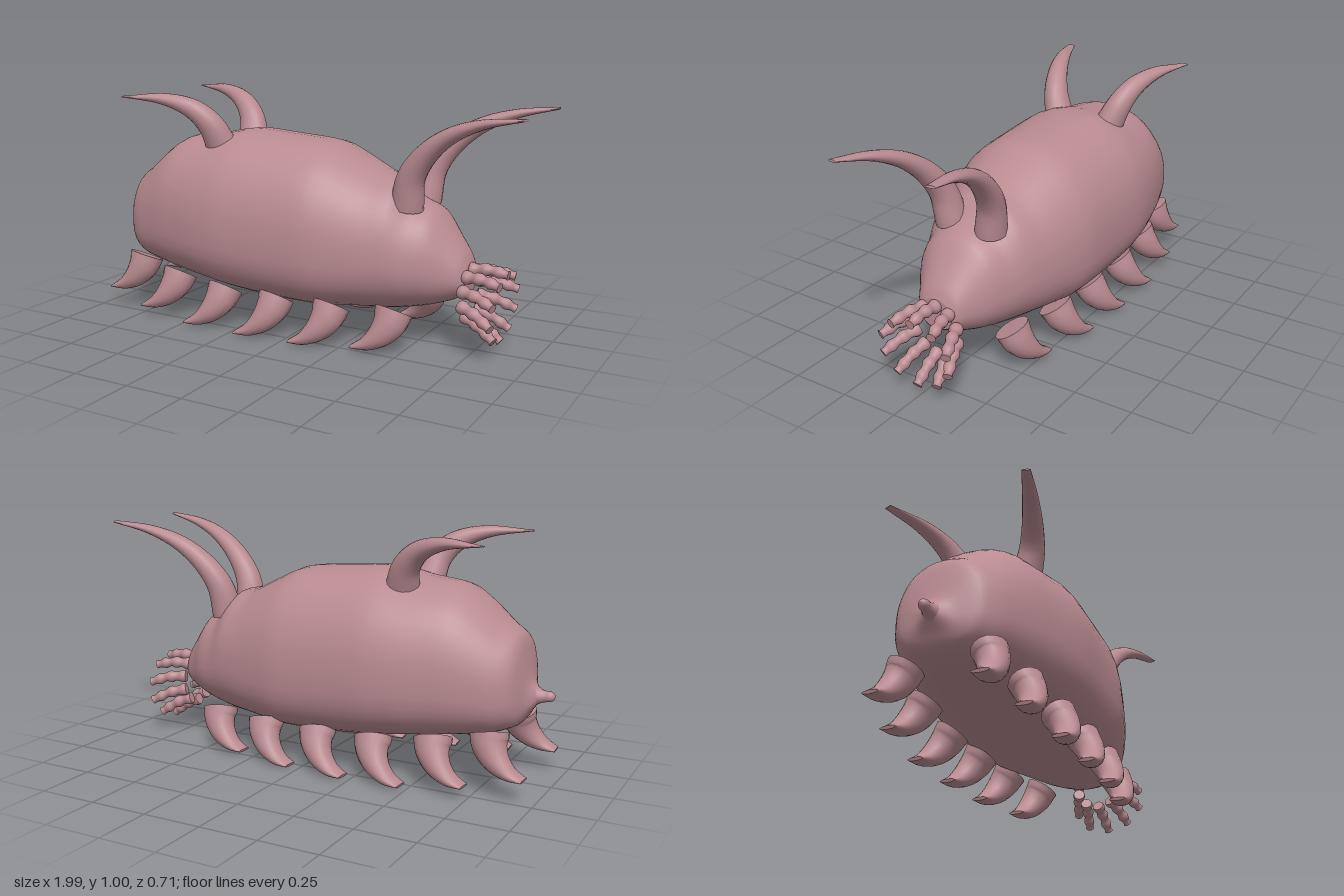
import * as THREE from 'three';

const V = (x, y, z) => new THREE.Vector3(x, y, z);

// Skin a list of equal rings (counter-clockwise about the direction of travel) with flat end caps.
function loft(rings) {
  const n = rings[0].length, pos = [], idx = [];
  rings.forEach(r => r.forEach(p => pos.push(p.x, p.y, p.z)));
  for (let i = 0; i < rings.length - 1; i++) {
    for (let j = 0; j < n; j++) {
      const k = (j + 1) % n, a = i * n + j, b = i * n + k;
      idx.push(a, b, a + n, b, b + n, a + n);
    }
  }
  [rings[0], rings[rings.length - 1]].forEach((r, end) => {
    const c = r.reduce((s, p) => s.add(p), V(0, 0, 0)).divideScalar(n);
    const base = pos.length / 3;
    pos.push(c.x, c.y, c.z);
    r.forEach(p => pos.push(p.x, p.y, p.z));
    for (let j = 0; j < n; j++) {
      const a = base + 1 + j, b = base + 1 + (j + 1) % n;
      if (end) idx.push(base, a, b); else idx.push(base, b, a);
    }
  });
  const g = new THREE.BufferGeometry();
  g.setAttribute('position', new THREE.Float32BufferAttribute(pos, 3));
  g.setIndex(idx);
  g.computeVertexNormals();
  return g;
}

// Sweep an ellipse along a curve; radius(t) gives [thickness, width along z].
function sweep(points, radius, steps = 20, sides = 16) {
  const curve = new THREE.CatmullRomCurve3(points);
  const rings = [];
  for (let i = 0; i <= steps; i++) {
    const t = i / steps, c = curve.getPointAt(t), T = curve.getTangentAt(t);
    const B = V(0, 0, 1).addScaledVector(T, -T.z).normalize();
    const N = B.clone().cross(T);
    const [rn, rb] = radius(t);
    rings.push(Array.from({ length: sides }, (_, j) => {
      const a = j / sides * Math.PI * 2;
      return c.clone().addScaledVector(N, Math.cos(a) * rn).addScaledVector(B, Math.sin(a) * rb);
    }));
  }
  return loft(rings);
}

// Body cross-sections: x, bottom, top, half width.
const SECTIONS = [
  [-0.94, 0.36, 0.40, 0.02], [-0.905, 0.31, 0.45, 0.08], [-0.87, 0.26, 0.61, 0.17],
  [-0.8, 0.23, 0.665, 0.225], [-0.7, 0.21, 0.75, 0.265], [-0.61, 0.195, 0.803, 0.295],
  [-0.45, 0.175, 0.825, 0.335], [-0.3, 0.155, 0.853, 0.355], [-0.1, 0.14, 0.842, 0.352],
  [0.1, 0.135, 0.825, 0.343], [0.22, 0.142, 0.775, 0.315], [0.34, 0.148, 0.717, 0.28],
  [0.43, 0.152, 0.695, 0.25], [0.5, 0.165, 0.62, 0.22], [0.58, 0.185, 0.58, 0.185],
  [0.65, 0.21, 0.49, 0.135], [0.7, 0.235, 0.42, 0.1], [0.72, 0.245, 0.375, 0.075],
];

function bodyGeometry() {
  const smooth = f => new THREE.CatmullRomCurve3(SECTIONS.map(f), false, 'catmullrom', 0.4);
  const heights = smooth(s => V(s[0], s[1], s[2]));
  const widths = smooth(s => V(s[0], s[3], 0));
  const steps = (SECTIONS.length - 1) * 4, sides = 40, rings = [];
  for (let i = 0; i <= steps; i++) {
    const h = heights.getPoint(i / steps), w = widths.getPoint(i / steps).y;
    const mid = h.y + (h.z - h.y) * 0.43;
    // fuller underside in the trunk, rounder toward the head
    const full = THREE.MathUtils.lerp(2.7, 2.1, THREE.MathUtils.smoothstep(h.x, 0.1, 0.5));
    rings.push(Array.from({ length: sides }, (_, j) => {
      const a = j / sides * Math.PI * 2, c = Math.cos(a), s = Math.sin(a);
      const e = 2 / (c < 0 ? full : 2.2);
      const y = Math.sign(c) * Math.abs(c) ** e * (c < 0 ? mid - h.y : h.z - mid);
      return V(h.x, mid + y, Math.sign(s) * Math.abs(s) ** e * w);
    }));
  }
  return loft(rings);
}

export function createModel() {
  const group = new THREE.Group();
  const skin = new THREE.MeshStandardMaterial({ color: 0xb98b91 });
  skin.name = 'dusky pink skin';
  const add = (name, geometry) => {
    const mesh = new THREE.Mesh(geometry, skin);
    mesh.name = name;
    group.add(mesh);
    return mesh;
  };

  add('body', bodyGeometry());

  // Small nub at the tail
  add('tailNub', sweep([V(-0.91, 0.378, 0), V(-0.95, 0.378, 0), V(-1, 0.382, 0)],
    t => { const r = t > 0.7 ? 0.022 * Math.sqrt(Math.max(0.02, 1 - ((t - 0.7) / 0.3) ** 2)) : 0.022 + 0.03 * (1 - t / 0.7) ** 2; return [r, r]; }));

  // Legs: x of the top, height of the top, height of the tip, z of the top and of the tip
  const legs = [
    [-0.795, 0.25, 0.095, 0.17, 0.215], [-0.575, 0.21, 0.053, 0.21, 0.275],
    [-0.32, 0.18, 0.022, 0.23, 0.305], [-0.06, 0.175, 0.016, 0.23, 0.305],
    [0.2, 0.175, 0.016, 0.22, 0.29], [0.465, 0.18, 0.024, 0.18, 0.24],
  ];

  for (const side of [1, -1]) {
    const label = side > 0 ? 'Left' : 'Right';

    legs.forEach(([x, top, tip, z0, z1], i) => {
      const at = (dx, f, k) => V(x + dx, tip + (top - tip) * f, side * (z0 + (z1 - z0) * k));
      add(`leg${label}${i + 1}`, sweep(
        [at(0, 1, 0), at(-0.008, 0.72, 0.35), at(-0.04, 0.4, 0.7), at(-0.095, 0.13, 0.93), at(-0.158, 0, 1)],
        t => [0.073 * (1 - t ** 1.3) + 0.007, 0.07 - 0.034 * t]));
    });

    // Long curved feelers over the head
    add(`headFeeler${label}`, sweep(
      [V(0.475, 0.595, side * 0.095), V(0.5, 0.72, side * 0.115), V(0.57, 0.82, side * 0.135),
        V(0.68, 0.905, side * 0.16), V(0.82, 0.96, side * 0.188), V(0.99, 0.99, side * 0.22)],
      t => [0.065 * (1 - t) ** 1.05 + 0.005, 0.066 * (1 - t) + 0.02 * t], 28));

    // Shorter feelers sweeping back over the tail
    add(`backFeeler${label}`, sweep(
      [V(-0.395, 0.785, side * 0.13), V(-0.425, 0.875, side * 0.165), V(-0.495, 0.945, side * 0.2),
        V(-0.61, 0.985, side * 0.243), V(-0.79, 0.993, side * 0.305)],
      t => [0.07 * (1 - t) ** 1.1 + 0.003, 0.062 * (1 - t) + 0.018 * t], 24));
  }

  // Ring of ten rippled tentacles around the mouth
  for (let i = 0; i < 10; i++) {
    const a = Math.PI / 2 + i * Math.PI / 5, c = Math.cos(a), s = Math.sin(a);
    const root = V(0.715, 0.245 + 0.1 * s, 0.1 * c);
    const tip = V(0.868 + 0.012 * s, 0.2 + 0.14 * s, 0.165 * c);
    const mid = root.clone().lerp(tip, 0.5).add(V(0, 0.01, 0));
    add(`mouthTentacle${i + 1}`, sweep([root, mid, tip],
      t => { const r = 0.026 - 0.006 * t + 0.0035 * Math.sin(t * Math.PI * 6); return [r, r]; }, 24, 12));
  }

  return group;
}
